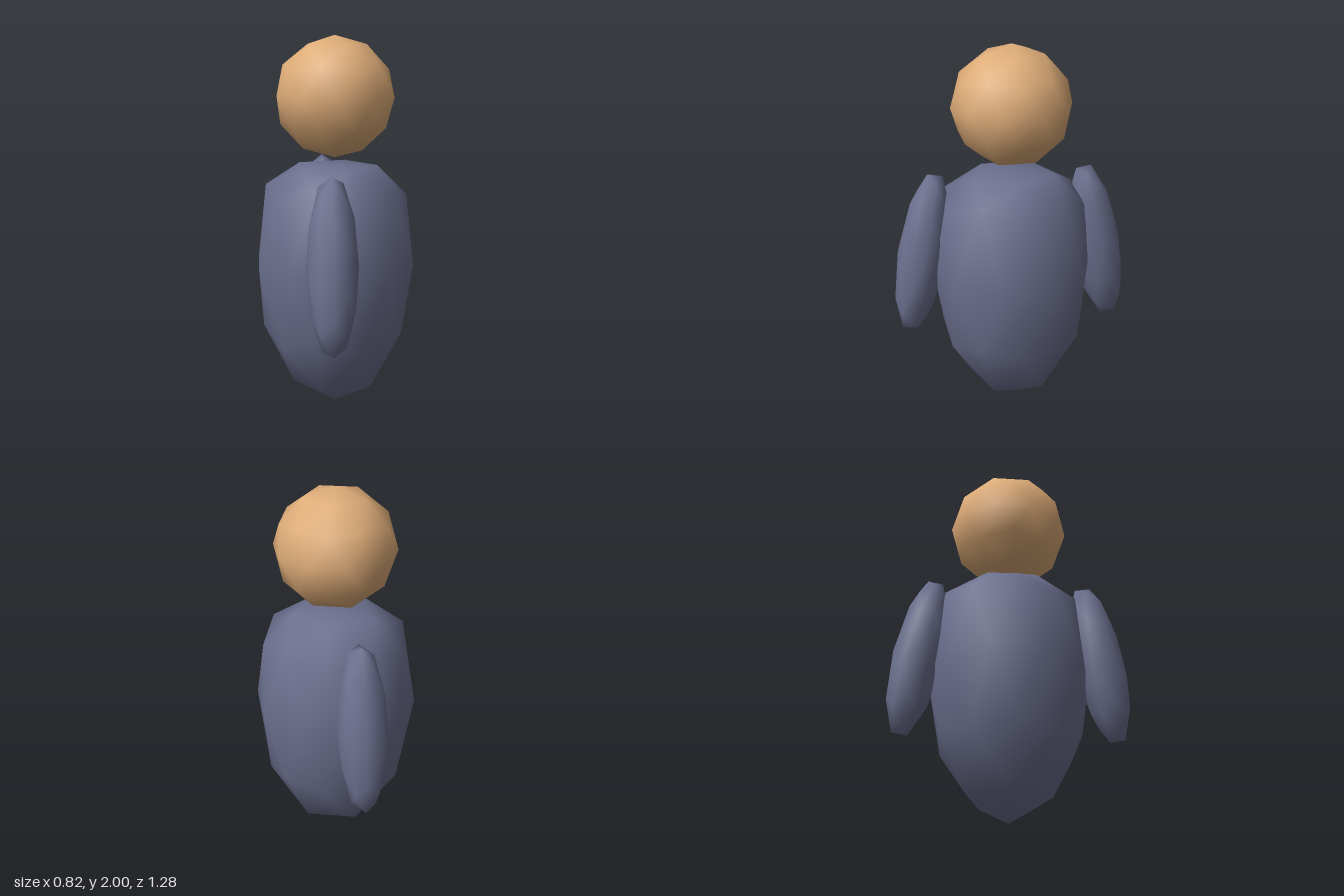
import * as THREE from 'three';
import { mergeVertices } from 'three/addons/utils/BufferGeometryUtils.js';

// Smooth 80-sided ball with a corner at each pole
function ball() {
  let g = new THREE.IcosahedronGeometry(1, 1);
  g.deleteAttribute('uv');
  g.deleteAttribute('normal');
  g = mergeVertices(g, 1e-4);
  g.rotateZ(-Math.atan2(2, 1 + Math.sqrt(5)));
  return g;
}

function part(name, geometry, material) {
  geometry.computeVertexNormals();
  const mesh = new THREE.Mesh(geometry, material);
  mesh.name = name;
  return mesh;
}

export function createModel() {
  const skin = new THREE.MeshStandardMaterial({ color: 0xdeac78 });
  skin.name = 'tan skin';
  const cloth = new THREE.MeshStandardMaterial({ color: 0x6c708f });
  cloth.name = 'slate blue cloth';

  const model = new THREE.Group();
  model.name = 'figure';

  // Head, floating just above the body
  const head = part('head', ball().scale(0.32, 0.32, 0.32), skin);
  head.position.y = 1.68;
  model.add(head);

  // Body: tall egg with its top pressed almost flat
  const bodyGeo = ball().scale(0.431, 0.8, 0.431).translate(0, 0.8, 0);
  const p = bodyGeo.attributes.position;
  for (let i = 0; i < p.count; i++) {
    const y = p.getY(i);
    if (y > 1.58) p.setY(i, 1.322);
    else if (y > 1.316) p.setY(i, 1.316);
  }
  model.add(part('body', bodyGeo, cloth));

  // Arms: slim ellipsoids with poles along x, leaning outward at the bottom
  for (const side of [1, -1]) {
    const geo = ball().rotateY(Math.PI).rotateZ(-Math.PI / 2).scale(0.132, 0.468, 0.133);
    const arm = part(side > 0 ? 'frontArm' : 'backArm', geo, cloth);
    arm.position.set(-0.044, 0.875, side * 0.482);
    arm.rotation.x = -side * 0.182;
    model.add(arm);
  }
  return model;
}
